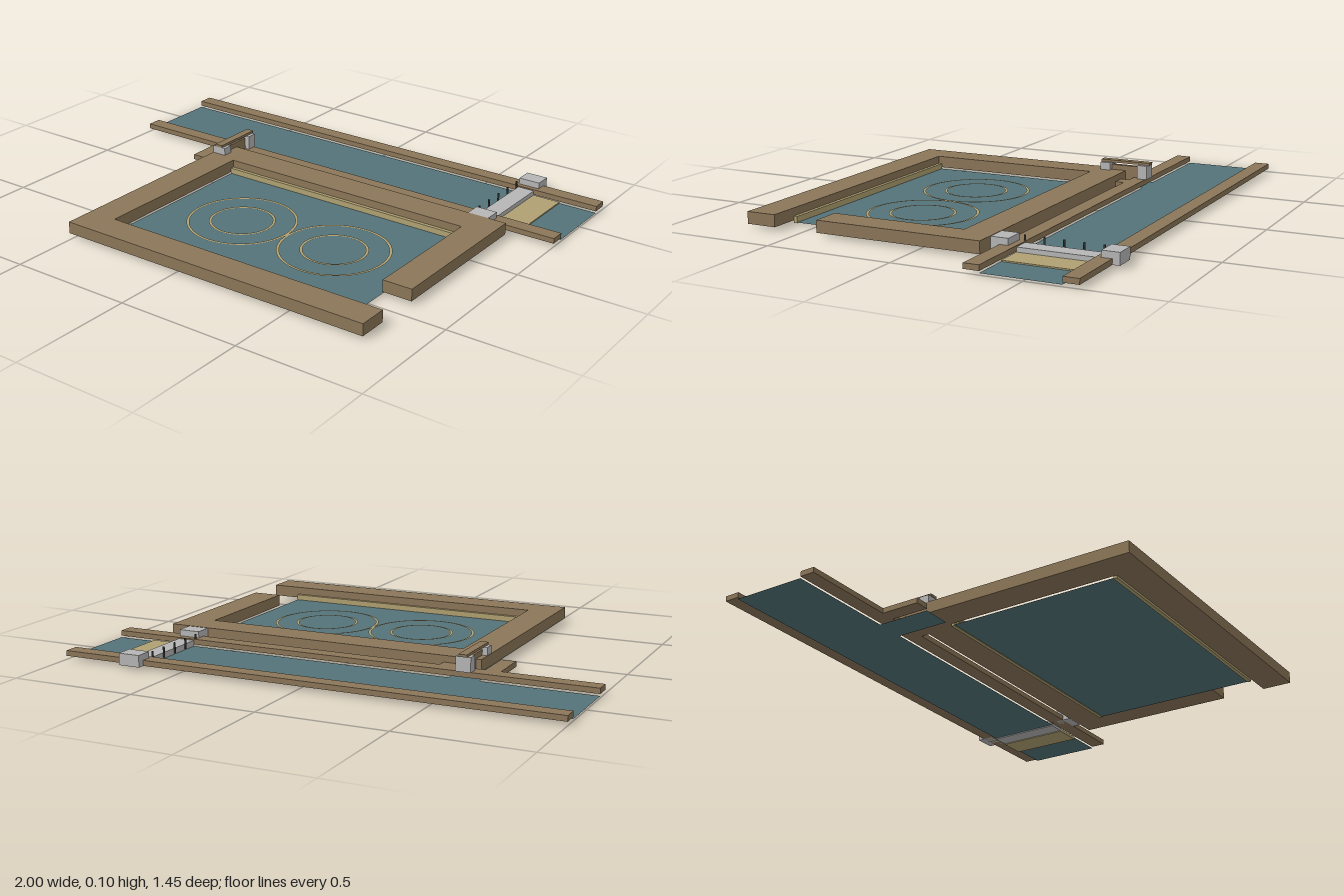
import * as THREE from 'three';

const material = (name, color) => {
  const m = new THREE.MeshStandardMaterial({ color });
  m.name = name;
  return m;
};

export function createModel() {
  const group = new THREE.Group();
  const earth = material('earth brown', 0x8b7658);
  const stone = material('pale stone', 0xb6b6b6);
  const sand = material('sand', 0xb0a172);
  const iron = material('dark iron', 0x3a3a38);
  const water = material('water', 0x547379);
  water.side = THREE.DoubleSide;

  const add = (name, geometry, mat) => {
    const mesh = new THREE.Mesh(geometry, mat);
    mesh.name = name;
    group.add(mesh);
    return mesh;
  };
  // box given by its extents
  const box = (name, mat, x0, x1, y0, y1, z0, z1) =>
    add(name, new THREE.BoxGeometry(x1 - x0, y1 - y0, z1 - z0), mat)
      .position.set((x0 + x1) / 2, (y0 + y1) / 2, (z0 + z1) / 2);
  // flat horizontal sheet
  const sheet = (name, mat, x0, x1, y, z0, z1) =>
    add(name, new THREE.PlaneGeometry(x1 - x0, z1 - z0).rotateX(-Math.PI / 2), mat)
      .position.set((x0 + x1) / 2, y, (z0 + z1) / 2);

  // river with its two banks
  sheet('riverWater', water, -1, 1, 0.007, -0.64, -0.34);
  box('riverBankBack', earth, -1, 1, 0.014, 0.035, -0.7, -0.64);
  box('riverBankFront', earth, -1, 1, 0.014, 0.035, -0.34, -0.28);

  // short intake channel
  sheet('intakeWater', water, -0.55, -0.43, 0.007, -0.34, -0.12);
  box('intakeBankRight', earth, -0.61, -0.55, 0.014, 0.035, -0.28, -0.12);
  box('intakeBankLeft', earth, -0.43, -0.37, 0.014, 0.035, -0.28, -0.12);

  // basin wall, with an outlet gap on its left side
  const wall = new THREE.Shape([
    [-0.52, -0.245], [0.815, -0.245], [0.815, 0.42], [0.695, 0.42],
    [0.695, -0.12], [-0.397, -0.12], [-0.397, 0.602], [0.815, 0.602],
    [0.815, 0.722], [-0.52, 0.722],
  ].map(([x, z]) => new THREE.Vector2(x, -z)));
  add('basinWall', new THREE.ExtrudeGeometry(wall, { depth: 0.047, bevelEnabled: false })
    .rotateX(-Math.PI / 2), earth).position.y = 0.014;
  sheet('basinWater', water, -0.397, 0.695, 0.007, -0.12, 0.602);
  box('basinLedgeBack', sand, -0.397, 0.695, 0.004, 0.03, -0.12, -0.105);
  box('basinLedgeFront', sand, -0.397, 0.695, 0.004, 0.03, 0.587, 0.602);

  // flow rings on the basin water
  for (const x of [-0.067, 0.365]) {
    for (const r of [0.216, 0.129]) {
      add('flowRing', new THREE.RingGeometry(r - 0.011, r, 64).rotateX(-Math.PI / 2), sand)
        .position.set(x, 0.011, 0.24);
    }
  }

  // sluice gate
  for (const z of [-0.161, -0.325]) {
    box('gatePost', stone, -0.518, -0.458, 0.035, 0.092, z - 0.021, z + 0.021);
  }
  box('gatePanel', earth, -0.498, -0.478, 0.014, 0.082, -0.304, -0.182);
  box('gateBeam', earth, -0.505, -0.472, 0.092, 0.102, -0.352, -0.138);

  // weir across the river
  box('weirPierBack', stone, 0.65, 0.738, 0.014, 0.06, -0.728, -0.66);
  box('weirPierFront', stone, 0.65, 0.738, 0.014, 0.06, -0.314, -0.246);
  box('weirSill', stone, 0.657, 0.727, 0.003, 0.03, -0.64, -0.34);
  box('weirApron', sand, 0.727, 0.842, 0, 0.012, -0.64, -0.34);
  for (let i = 0; i < 5; i++) {
    add('weirRod', new THREE.CylinderGeometry(0.004, 0.004, 0.042, 8), iron)
      .position.set(0.651, 0.034, -0.335 - i * 0.075);
  }
  return group;
}
